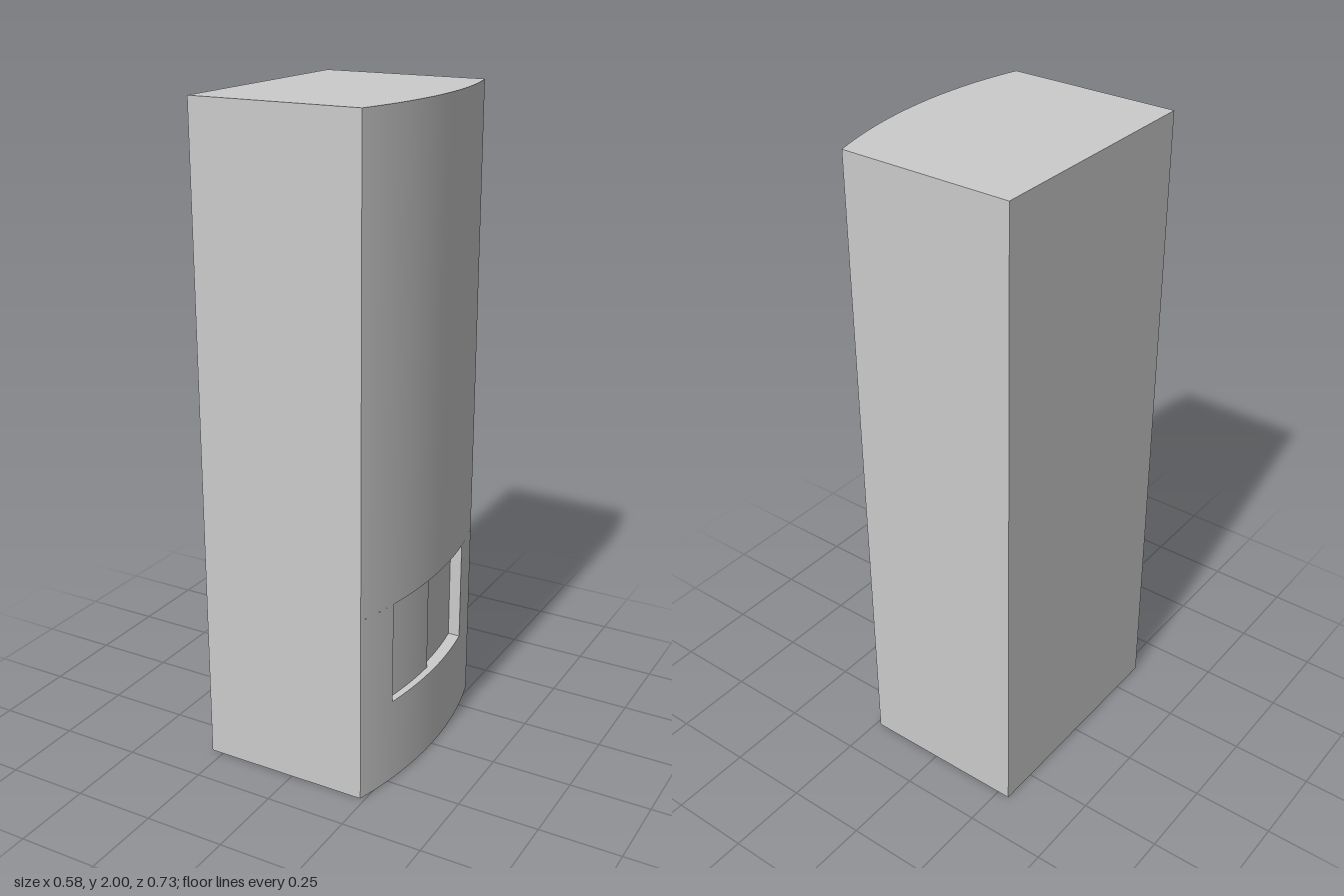
import * as THREE from 'three';

const H = 2, HALF_Z = 0.367, BACK_X = -0.289, BOW_X = 0.289, SAG = 0.053;
const R = (HALF_Z ** 2 + SAG ** 2) / (2 * SAG);
const WIN = { z: 0.23, y0: 0.265, y1: 0.585 };
const DEPTH_FRONT = 0.022, DEPTH_REAR = 0.038;

// x of the bowed face at a given z
const bowX = (z) => BOW_X - R + Math.sqrt(R * R - z * z);

export function createModel() {
  const group = new THREE.Group();
  const material = new THREE.MeshStandardMaterial({ color: 0xcccccc, side: THREE.DoubleSide });

  const add = (name, geometry) => {
    const mesh = new THREE.Mesh(geometry, material);
    mesh.name = name;
    group.add(mesh);
    return mesh;
  };

  // Curved sheet following the bow, set back by an inset
  const bowSheet = (name, z0, z1, y0, y1, inset = 0) => {
    const g = new THREE.PlaneGeometry(z1 - z0, y1 - y0, 16, 1);
    g.rotateY(Math.PI / 2).translate(0, (y0 + y1) / 2, (z0 + z1) / 2);
    const p = g.attributes.position, n = g.attributes.normal;
    for (let i = 0; i < p.count; i++) {
      const z = p.getZ(i), x = bowX(z);
      p.setX(i, x - inset);
      n.setXYZ(i, (x - BOW_X + R) / R, 0, z / R);
    }
    add(name, g);
  };

  // Flat upright wall across x at a fixed z, facing +z or -z
  const wall = (name, x0, x1, y0, y1, z, facing) => {
    const g = new THREE.PlaneGeometry(x1 - x0, y1 - y0);
    if (facing < 0) g.rotateY(Math.PI);
    add(name, g.translate((x0 + x1) / 2, (y0 + y1) / 2, z));
  };

  // Level surface between the bow and an inner edge given as a function of z
  const level = (name, z0, z1, y, innerX, facing) => {
    const outer = [], inner = [];
    for (let i = 0; i <= 16; i++) {
      const z = z0 + (z1 - z0) * i / 16;
      outer.push(new THREE.Vector2(bowX(z), -facing * z));
      inner.unshift(new THREE.Vector2(innerX(z), -facing * z));
    }
    const g = new THREE.ShapeGeometry(new THREE.Shape([...outer, ...inner]));
    add(name, g.rotateX(-facing * Math.PI / 2).translate(0, y, 0));
  };

  // Body: flat walls and top, open underneath
  const edgeX = bowX(HALF_Z);
  wall('frontWall', BACK_X, edgeX, 0, H, HALF_Z, 1);
  wall('backWall', BACK_X, edgeX, 0, H, -HALF_Z, -1);
  add('flatSideWall', new THREE.PlaneGeometry(2 * HALF_Z, H)
    .rotateY(-Math.PI / 2).translate(BACK_X, H / 2, 0));
  level('top', -HALF_Z, HALF_Z, H, () => BACK_X, 1);

  // Bowed face around the window opening
  bowSheet('bowedFaceBelowWindow', -HALF_Z, HALF_Z, 0, WIN.y0);
  bowSheet('bowedFaceAboveWindow', -HALF_Z, HALF_Z, WIN.y1, H);
  bowSheet('bowedFaceFrontOfWindow', WIN.z, HALF_Z, WIN.y0, WIN.y1);
  bowSheet('bowedFaceBehindWindow', -HALF_Z, -WIN.z, WIN.y0, WIN.y1);

  // Two stepped sliding panels with sill, lintel and end reveal
  for (const [side, s, depth] of [['front', 1, DEPTH_FRONT], ['rear', -1, DEPTH_REAR]]) {
    const z0 = s > 0 ? 0 : -WIN.z, z1 = s > 0 ? WIN.z : 0;
    const innerX = (z) => bowX(z) - depth;
    bowSheet(side + 'SlidingPanel', z0, z1, WIN.y0, WIN.y1, depth);
    level(side + 'Sill', z0, z1, WIN.y0, innerX, 1);
    level(side + 'Lintel', z0, z1, WIN.y1, innerX, -1);
    wall(side + 'Reveal', innerX(WIN.z), bowX(WIN.z), WIN.y0, WIN.y1, s * WIN.z, -s);
  }
  wall('panelStep', BOW_X - DEPTH_REAR, BOW_X - DEPTH_FRONT, WIN.y0, WIN.y1, 0, -1);

  return group;
}
